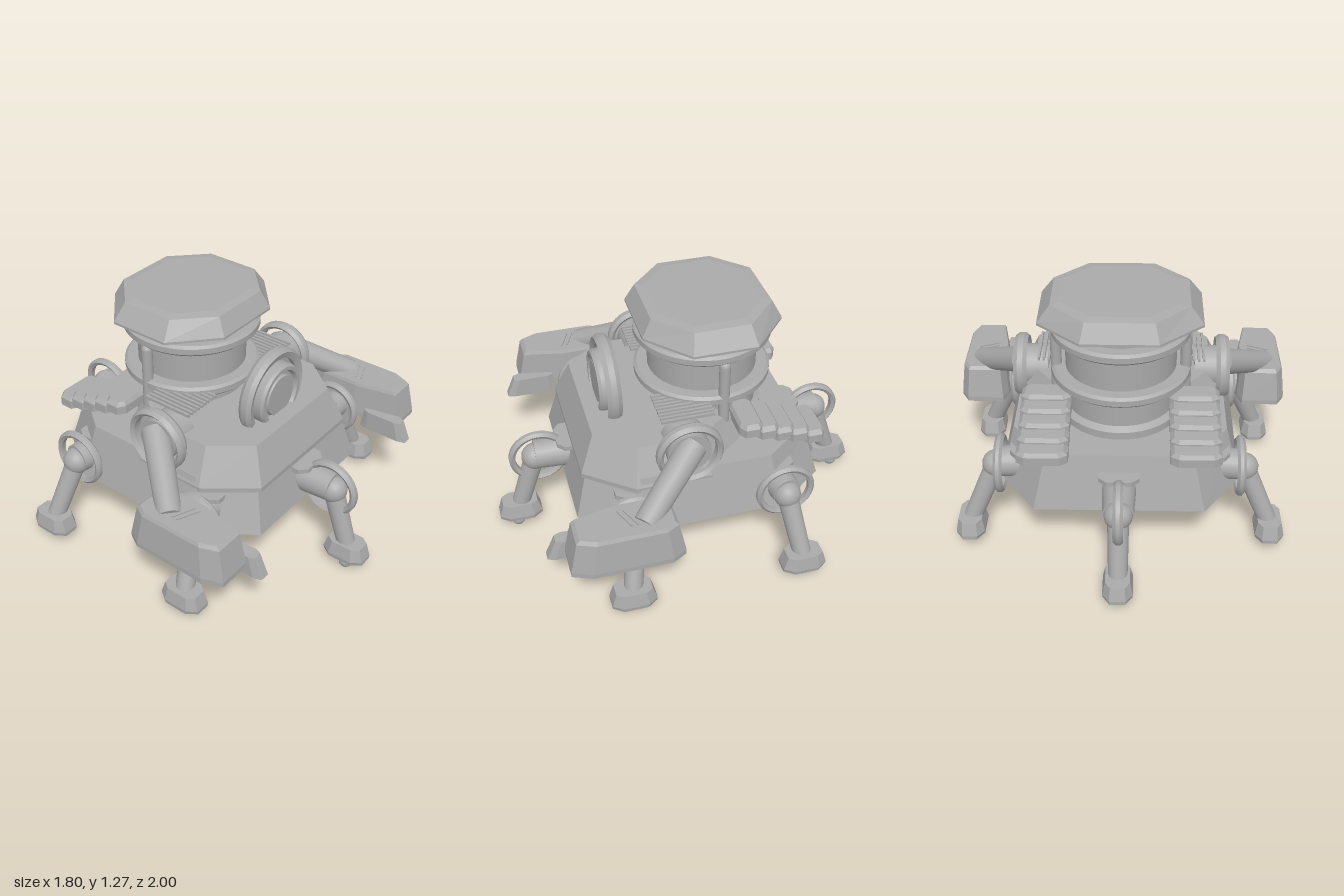
import * as THREE from 'three';
import { toCreasedNormals } from 'three/addons/utils/BufferGeometryUtils.js';

const grey = new THREE.MeshStandardMaterial({ color: 0xaaaaaa });
grey.name = 'plain grey';

// Octagon of half sizes hx, hz with flat edges of half length kx, kz
const octagon = (hx, hz, kx, kz, cx = 0, cz = 0) => [
  [kx, hz], [hx, kz], [hx, -kz], [kx, -hz], [-kx, -hz], [-hx, -kz], [-hx, kz], [-kx, hz],
].map(([x, z]) => [x + cx, z + cz]);

// Faceted solid through horizontal outlines, from the bottom up
function loft(sections) {
  const pos = [];
  const put = (s, i) => {
    const p = s.pts[i % s.pts.length];
    pos.push(p[0], s.y, p[1]);
  };
  const n = sections[0].pts.length;
  for (let k = 0; k + 1 < sections.length; k++) {
    const a = sections[k], b = sections[k + 1];
    for (let i = 0; i < n; i++) {
      put(a, i); put(a, i + 1); put(b, i + 1);
      put(a, i); put(b, i + 1); put(b, i);
    }
  }
  const bottom = sections[0], top = sections[sections.length - 1];
  for (let i = 1; i + 1 < n; i++) {
    put(bottom, 0); put(bottom, i + 1); put(bottom, i);
    put(top, 0); put(top, i); put(top, i + 1);
  }
  const g = new THREE.BufferGeometry();
  g.setAttribute('position', new THREE.Float32BufferAttribute(pos, 3));
  g.computeVertexNormals();
  return g;
}

const lathe = (pts, seg = 48) =>
  toCreasedNormals(new THREE.LatheGeometry(pts.map(([r, y]) => new THREE.Vector2(r, y)), seg), 0.5);

function add(parent, name, geometry, x = 0, y = 0, z = 0) {
  const m = new THREE.Mesh(geometry, grey);
  m.name = name;
  m.position.set(x, y, z);
  parent.add(m);
  return m;
}

// Cylinder between two points
function rod(parent, name, a, b, r0, r1 = r0) {
  const A = new THREE.Vector3(...a), B = new THREE.Vector3(...b);
  const d = B.clone().sub(A);
  const m = add(parent, name, new THREE.CylinderGeometry(r1, r0, d.length(), 24));
  m.position.copy(A).add(B).multiplyScalar(0.5);
  m.quaternion.setFromUnitVectors(new THREE.Vector3(0, 1, 0), d.normalize());
  return m;
}

// Bevelled ring standing upright with its axis along x
function sideRing(parent, name, radius, width, x, y, z) {
  const h = width / 2, i = radius - 0.032;
  const g = lathe([[i, -h * 0.6], [radius - 0.015, -h], [radius, -h * 0.4], [radius, h * 0.4],
    [radius - 0.015, h], [i, h * 0.6], [i, -h * 0.6]], 32);
  add(parent, name, g, x, y, z).rotation.z = Math.PI / 2;
}

function leg(root, name, hip, inner, foot) {
  const g = new THREE.Group();
  g.name = name;
  root.add(g);
  const [hx, hz] = hip, [fx, fz] = foot, [ix, iz] = inner;
  const central = ix === 0;
  rod(g, 'hipArm', [ix, 0.43, iz], [hx, 0.43, hz], 0.09, 0.075);
  add(g, 'hipJoint', new THREE.SphereGeometry(0.07, 20, 14), hx, 0.42, hz);
  if (central) sideRing(g, 'hipRing', 0.155, 0.05, 0, 0.42, Math.sign(hz) * 0.76);
  else sideRing(g, 'hipRing', 0.152, 0.045, Math.sign(hx) * 0.605, 0.425, hz);
  rod(g, 'shin', [hx, 0.42, hz], [fx, 0.1, fz], 0.053, 0.047);
  // flat guard over the hip
  const [px, pz] = central ? [0, Math.sign(iz) * 0.61] : [Math.sign(ix) * 0.47, iz];
  const guard = central ? octagon(0.1, 0.055, 0.06, 0.02) : octagon(0.08, 0.1, 0.05, 0.06);
  add(g, 'hipGuard', loft([{ y: 0.5, pts: guard }, { y: 0.525, pts: guard }]), px, 0, pz);
  // foot block and round treads
  add(g, 'foot', loft([
    { y: 0.05, pts: octagon(0.072, 0.113, 0.035, 0.06) },
    { y: 0.07, pts: octagon(0.074, 0.113, 0.04, 0.065) },
    { y: 0.14, pts: octagon(0.06, 0.092, 0.035, 0.055) },
  ]), fx, 0, fz);
  for (const o of central ? [-0.035, 0.035] : [0])
    add(g, 'tread', new THREE.SphereGeometry(0.035, 16, 12), fx + o, 0.035, fz + Math.sign(fz) * 0.02);
}

function arm(root, s) {
  const g = new THREE.Group();
  g.name = s > 0 ? 'leftArm' : 'rightArm';
  root.add(g);
  const side = (pts) => (s > 0 ? pts : pts.map(([x, z]) => [-x, z]).reverse());
  rod(g, 'shoulder', [s * 0.38, 0.715, 0.09], [s * 0.535, 0.715, 0.09], 0.11);
  sideRing(g, 'shoulderRing', 0.167, 0.07, s * 0.525, 0.718, 0.088);
  rod(g, 'upperArm', [s * 0.52, 0.755, 0.07], [s * 0.79, 0.565, 0.38], 0.07, 0.06);
  // long faceted forearm block
  const outline = [[0.69, 0.75], [0.86, 0.75], [0.9, 0.65], [0.9, 0.27],
    [0.86, 0.2], [0.665, 0.2], [0.64, 0.27], [0.64, 0.5]];
  const inset = (k) => side(outline.map(([x, z]) => [0.75 + (x - 0.75) * k, 0.46 + (z - 0.46) * k]));
  add(g, 'forearm', loft([{ y: 0.395, pts: inset(1) }, { y: 0.42, pts: inset(1) },
    { y: 0.58, pts: inset(0.88) }, { y: 0.597, pts: inset(0.82) }]));
  add(g, 'prong', loft([
    { y: 0.355, pts: octagon(0.038, 0.14, 0.025, 0.1, s * 0.66, 0.695) },
    { y: 0.46, pts: octagon(0.034, 0.11, 0.022, 0.08, s * 0.66, 0.68) },
  ]));
  for (const z of [0.44, 0.47])
    add(g, 'forearmStrip', new THREE.BoxGeometry(0.12, 0.008, 0.008), s * 0.76, 0.6, z).rotation.y = s * 0.4;
}

export function createModel() {
  const root = new THREE.Group();
  root.name = 'walker';

  // Hull
  add(root, 'lowerHull', loft([
    { y: 0.33, pts: octagon(0.61, 0.64, 0.42, 0.37) },
    { y: 0.61, pts: octagon(0.535, 0.565, 0.36, 0.33) },
  ]));
  add(root, 'upperHull', loft([
    { y: 0.54, pts: octagon(0.55, 0.425, 0.365, 0.19, 0, 0.17) },
    { y: 0.565, pts: octagon(0.55, 0.425, 0.365, 0.19, 0, 0.17) },
    { y: 0.75, pts: octagon(0.46, 0.35, 0.31, 0.16, 0, 0.17) },
  ]));

  // Turret drum with bands
  const tz = -0.125;
  add(root, 'turretDrum', lathe([[0, 0.58], [0.31, 0.58], [0.31, 0.65], [0.28, 0.67], [0.28, 1.12],
    [0.285, 1.12], [0.285, 1.14], [0.27, 1.152], [0, 1.152]]), 0, 0, tz);
  for (const y of [0.845, 1.085])
    add(root, 'turretBand', lathe([[0.27, -0.03], [0.33, -0.03], [0.35, -0.012], [0.35, 0.018],
      [0.335, 0.03], [0.27, 0.03]]), 0, y, tz);

  // Floating faceted roof
  add(root, 'roof', loft([
    { y: 1.168, pts: octagon(0.4, 0.352, 0.185, 0.16) },
    { y: 1.18, pts: octagon(0.4, 0.352, 0.185, 0.16) },
    { y: 1.268, pts: octagon(0.335, 0.305, 0.165, 0.14) },
    { y: 1.275, pts: octagon(0.29, 0.26, 0.14, 0.12) },
  ]), 0, 0, tz);

  // Round front lens
  const lens = new THREE.Group();
  lens.name = 'lens';
  lens.position.set(0, 0.84, 0.38);
  lens.rotation.x = Math.PI / 2;
  root.add(lens);
  add(lens, 'lensRim', lathe([[0.185, -0.025], [0.22, -0.037], [0.235, -0.015], [0.235, 0.015],
    [0.22, 0.037], [0.185, 0.025], [0.185, -0.025]]));
  add(lens, 'lensBack', lathe([[0, -0.02], [0.19, -0.02], [0.19, 0], [0.165, 0], [0.165, 0.05],
    [0.155, 0.065], [0.135, 0.065], [0.125, 0.045], [0.11, 0.045], [0.105, 0.06], [0, 0.06]]));

  for (const s of [1, -1]) {
    // Turret post
    add(root, 'turretPost', new THREE.CapsuleGeometry(0.028, 0.34, 6, 16), s * 0.325, 0.87, -0.145);

    // Floating vent slats
    for (let i = 0; i < 9; i++)
      add(root, 'ventSlat', new THREE.BoxGeometry(0.012, 0.016, 0.27), s * (0.215 + i * 0.026), 0.845, 0.065);

    // Stepped armour plates down the back
    for (let i = 0; i < 5; i++)
      add(root, 'backPlate', loft([
        { y: -0.035, pts: octagon(0.125, 0.06, 0.085, 0.035) },
        { y: 0.01, pts: octagon(0.125, 0.06, 0.085, 0.035) },
        { y: 0.03, pts: octagon(0.105, 0.047, 0.08, 0.03) },
      ]), s * 0.37, 0.745 - i * 0.027, -0.245 - i * 0.084);

    arm(root, s);

    // Corner legs on this side, then one central leg
    for (const f of [1, -1])
      leg(root, (f > 0 ? 'front' : 'back') + (s > 0 ? 'LeftLeg' : 'RightLeg'),
        [s * 0.63, f * 0.39], [s * 0.4, f * 0.36], [s * 0.77, f * 0.445]);
    leg(root, s > 0 ? 'frontLeg' : 'backLeg', [0, s * 0.78], [0, s * 0.5], [0, s * 0.887]);
  }
  return root;
}
